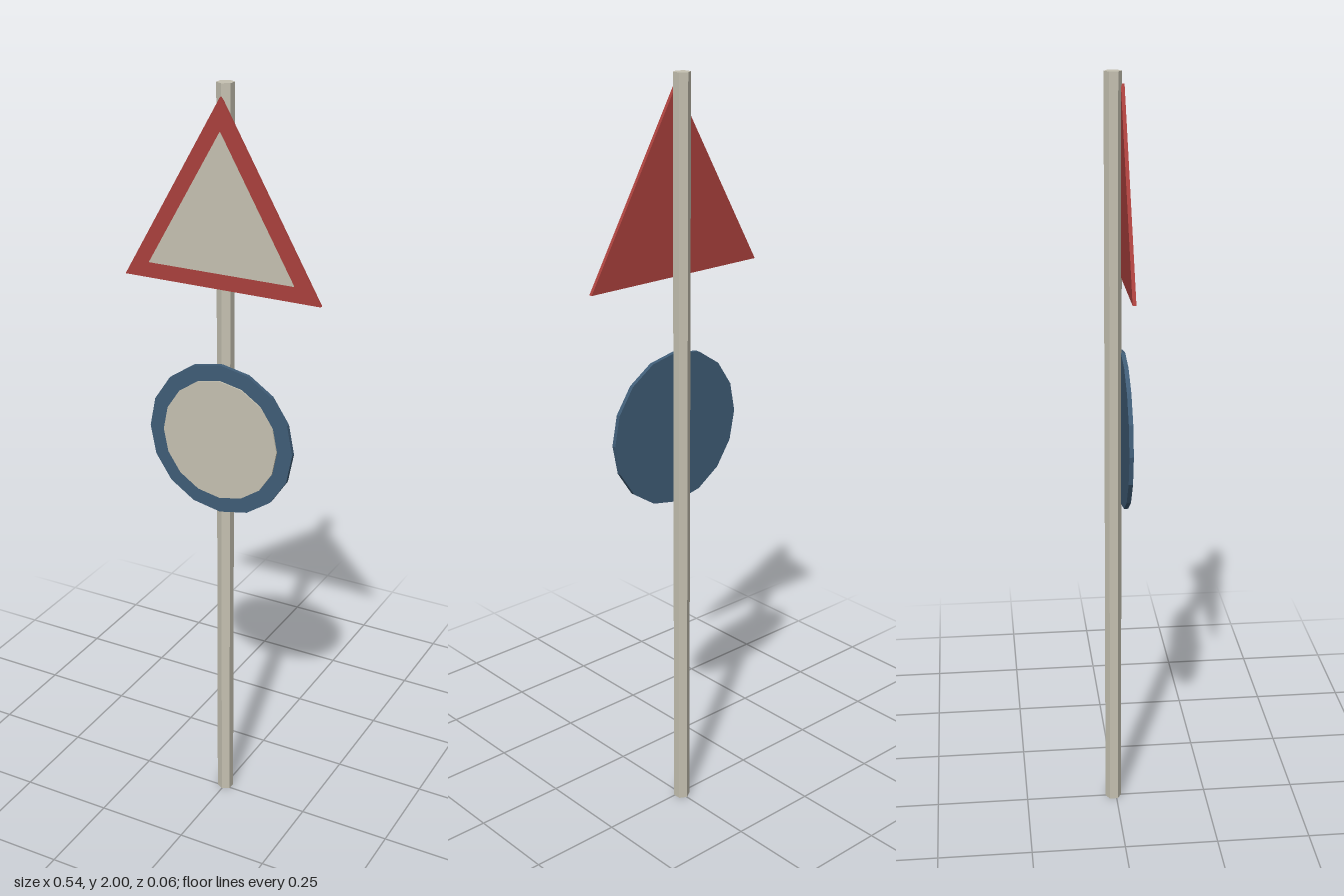
import * as THREE from 'three';

export function createModel() {
  const group = new THREE.Group();
  const material = (name, color) => {
    const m = new THREE.MeshStandardMaterial({ color, flatShading: true });
    m.name = name;
    return m;
  };
  const grey = material('warm grey', 0xc6c2b2);
  const red = material('sign red', 0xab413d);
  const blue = material('sign blue', 0x405d77);

  // Flat polygonal plate facing +z, with one corner pointing up
  const plate = (name, mat, sides, radius, y, back, front) => {
    const geometry = new THREE.CylinderGeometry(radius, radius, front - back, sides, 1, false, Math.PI);
    geometry.rotateX(Math.PI / 2);
    const mesh = new THREE.Mesh(geometry, mat);
    mesh.name = name;
    mesh.position.set(0, y, (back + front) / 2);
    group.add(mesh);
  };

  // Hexagonal pole
  const pole = new THREE.Mesh(new THREE.CylinderGeometry(0.022, 0.022, 2, 6), grey);
  pole.name = 'pole';
  pole.position.set(0, 1, -0.008);
  group.add(pole);

  // Triangular warning sign
  plate('triangleBorder', red, 3, 0.312, 1.658, 0.011, 0.02);
  plate('trianglePanel', grey, 3, 0.231, 1.658, 0.019, 0.023);

  // Round sign
  plate('roundBorder', blue, 16, 0.205, 1.1, 0.012, 0.023);
  plate('roundPanel', grey, 16, 0.163, 1.1, 0.022, 0.027);

  return group;
}
